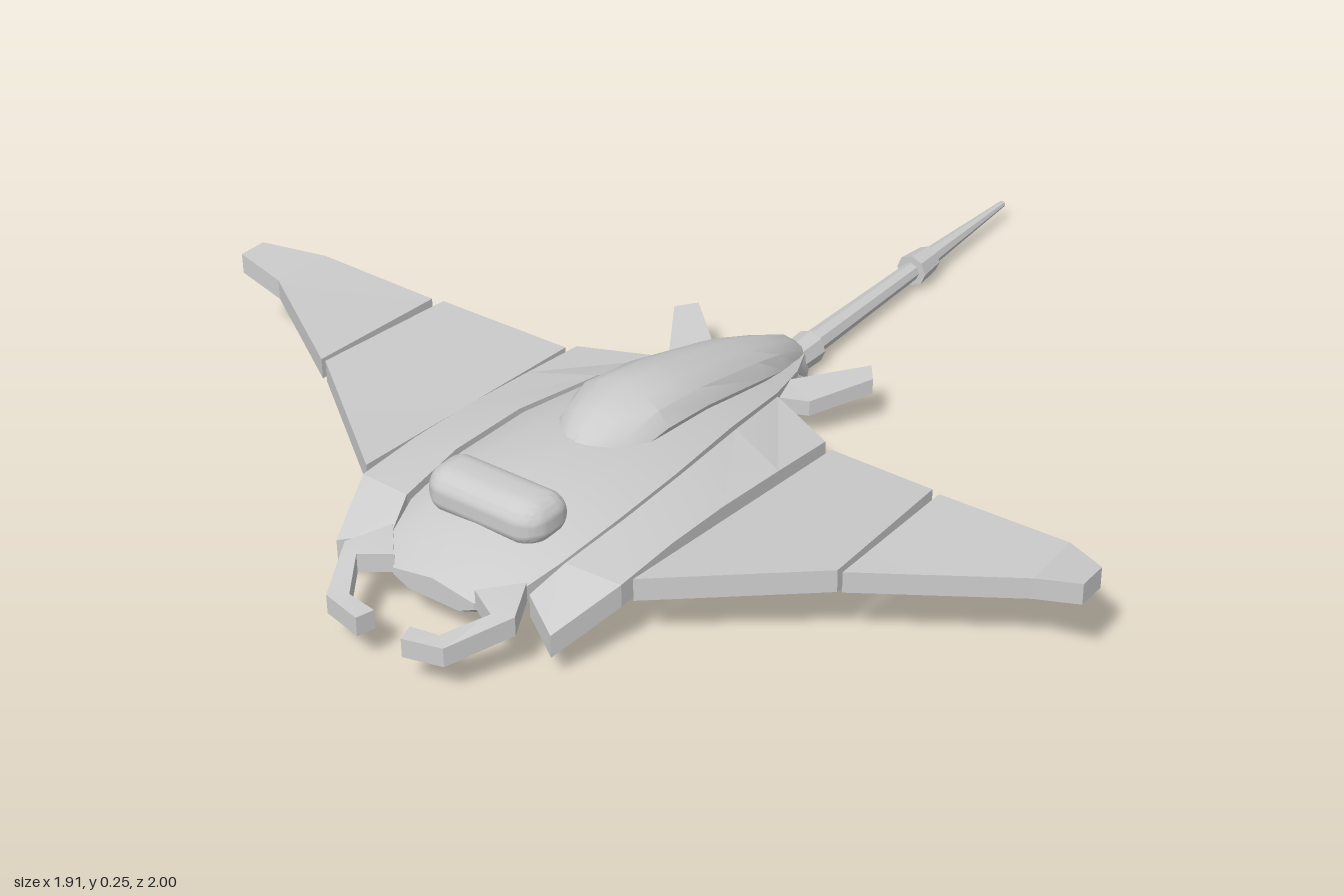
import * as THREE from 'three';
import { RoundedBoxGeometry } from 'three/addons/geometries/RoundedBoxGeometry.js';
import { toCreasedNormals } from 'three/addons/utils/BufferGeometryUtils.js';

const material = new THREE.MeshStandardMaterial({ color: 0xcccccc });

// Closed skin over a row of equal-length rings, with fan caps at both ends.
function loft(rings, crease) {
  const n = rings[0].length;
  const pts = rings.flat();
  let tris = [];
  for (let r = 0; r < rings.length - 1; r++) {
    for (let i = 0; i < n; i++) {
      const a = r * n + i, b = r * n + (i + 1) % n;
      tris.push([a, b, b + n], [a, b + n, a + n]);
    }
  }
  const last = (rings.length - 1) * n;
  for (let i = 1; i < n - 1; i++) {
    tris.push([0, i + 1, i], [last, last + i, last + i + 1]);
  }
  // Turn the skin outward whichever way the rings run
  let volume = 0;
  const [a, b, c] = [0, 1, 2].map(() => new THREE.Vector3());
  for (const t of tris) {
    a.fromArray(pts[t[0]]); b.fromArray(pts[t[1]]); c.fromArray(pts[t[2]]);
    volume += a.dot(b.cross(c));
  }
  if (volume < 0) tris = tris.map(([i, j, k]) => [i, k, j]);
  const geo = new THREE.BufferGeometry();
  geo.setAttribute('position', new THREE.Float32BufferAttribute(pts.flat(), 3));
  geo.setIndex(tris.flat());
  return toCreasedNormals(geo, crease);
}

// Thin slab: each row is an inner and an outer top point [x, y, z].
function plate(rows, thick, side) {
  return loft(rows.map(([p, q]) => [
    [side * p[0], p[1], p[2]],
    [side * q[0], q[1], q[2]],
    [side * q[0], q[1] - thick, q[2]],
    [side * p[0], p[1] - thick, p[2]],
  ]), 0.15);
}

// Full ring from half a section of [x, y], starting and ending on the centre line.
function mirrorRing(half, z) {
  const right = half.map(([x, y]) => [x, y, z]);
  const left = half.slice(1, -1).reverse().map(([x, y]) => [-x, y, z]);
  return [...right, ...left];
}

export function createModel() {
  const model = new THREE.Group();
  const add = (name, geo) => {
    const mesh = new THREE.Mesh(geo, material);
    mesh.name = name;
    model.add(mesh);
    return mesh;
  };

  // Main hull: z, half width, top, edge and bottom heights
  const hull = [
    [0.86, 0.09, 0.125, 0.11, 0.08],
    [0.80, 0.145, 0.15, 0.125, 0.055],
    [0.72, 0.168, 0.18, 0.145, 0.045],
    [0.57, 0.18, 0.20, 0.16, 0.036],
    [0.40, 0.175, 0.195, 0.16, 0.033],
    [0.20, 0.15, 0.175, 0.145, 0.036],
    [0.00, 0.112, 0.13, 0.105, 0.043],
    [-0.12, 0.075, 0.095, 0.08, 0.05],
    [-0.21, 0.03, 0.07, 0.06, 0.045],
  ];
  add('hull', loft(hull.map(([z, w, top, edge, bottom]) => mirrorRing([
    [0, top], [0.6 * w, top - 0.01], [w, edge],
    [w, edge - (edge - bottom) * 0.45], [0.62 * w, bottom], [0, bottom],
  ], z)), 0.45));

  // Raised spine: z, half width, top height
  const spine = [
    [0.485, 0.03, 0.188], [0.45, 0.07, 0.208], [0.41, 0.09, 0.228], [0.33, 0.105, 0.248],
    [0.20, 0.10, 0.23], [0.00, 0.083, 0.18], [-0.10, 0.06, 0.143],
    [-0.18, 0.043, 0.108], [-0.22, 0.033, 0.075],
  ];
  add('spine', loft(spine.map(([z, w, top]) => mirrorRing([
    [0, top], [0.45 * w, top - 0.008], [0.8 * w, top - 0.025],
    [w, top - 0.055], [0.9 * w, top - 0.075], [0, top - 0.075],
  ], z)), 0.6));

  // Canopy, its ends swept slightly back
  const canopy = new RoundedBoxGeometry(0.26, 0.09, 0.115, 5, 0.044);
  const pos = canopy.attributes.position;
  for (let i = 0; i < pos.count; i++) {
    pos.setZ(i, pos.getZ(i) - 0.8 * pos.getX(i) ** 2);
  }
  canopy.computeVertexNormals();
  add('canopy', toCreasedNormals(canopy, 0.8)).position.set(0, 0.192, 0.694);

  for (const side of [1, -1]) {
    const name = side > 0 ? 'left' : 'right';

    // Wing root with a drooping front tip
    add(name + 'WingRoot', plate([
      [[0.12, 0.105, 0.01], [0.29, 0.115, 0.10]],
      [[0.16, 0.145, 0.20], [0.29, 0.13, 0.25]],
      [[0.185, 0.163, 0.40], [0.29, 0.145, 0.42]],
      [[0.19, 0.163, 0.57], [0.29, 0.15, 0.57]],
      [[0.178, 0.15, 0.72], [0.29, 0.145, 0.71]],
      [[0.155, 0.115, 0.79], [0.24, 0.095, 0.84]],
    ], 0.045, side));

    // Middle panel
    add(name + 'WingMiddle', plate([
      [[0.31, 0.11, 0.11], [0.565, 0.155, 0.17]],
      [[0.30, 0.15, 0.69], [0.58, 0.17, 0.49]],
    ], 0.045, side));

    // Outer panel with an upturned tip
    add(name + 'WingOuter', plate([
      [[0.585, 0.158, 0.18], [0.59, 0.17, 0.49]],
      [[0.855, 0.17, 0.19], [0.86, 0.172, 0.32]],
      [[0.955, 0.20, 0.26], [0.955, 0.20, 0.32]],
    ], 0.042, side));

    // Rear fin
    add(name + 'RearFin', plate([
      [[0.04, 0.085, -0.08], [0.07, 0.085, 0.0]],
      [[0.09, 0.088, -0.08], [0.165, 0.09, -0.03]],
      [[0.205, 0.11, -0.18], [0.235, 0.11, -0.14]],
    ], 0.032, side));

    // Hooked pincer on the nose
    add(name + 'Pincer', plate([
      [[0.09, 0.135, 0.855], [0.15, 0.138, 0.79]],
      [[0.15, 0.128, 0.885], [0.19, 0.13, 0.87]],
      [[0.10, 0.108, 0.96], [0.13, 0.108, 0.985]],
      [[0.04, 0.103, 0.965], [0.05, 0.103, 1.0]],
    ], 0.038, side));
  }

  // Tail: front z, back z, front and back radius, height of the axis
  const tail = [
    ['tailBaseCollar', -0.20, -0.275, 0.033, 0.035, 0.036],
    ['tailRod', -0.27, -0.65, 0.025, 0.019, 0.039],
    ['tailCollar', -0.64, -0.705, 0.034, 0.028, 0.04],
    ['tailTip', -0.70, -1.0, 0.02, 0.007, 0.041],
  ];
  for (const [name, z0, z1, r0, r1, y] of tail) {
    const geo = new THREE.CylinderGeometry(r0, r1, z0 - z1, 8);
    geo.rotateX(Math.PI / 2);
    add(name, toCreasedNormals(geo, 0.5)).position.set(0, y, (z0 + z1) / 2);
  }

  return model;
}
